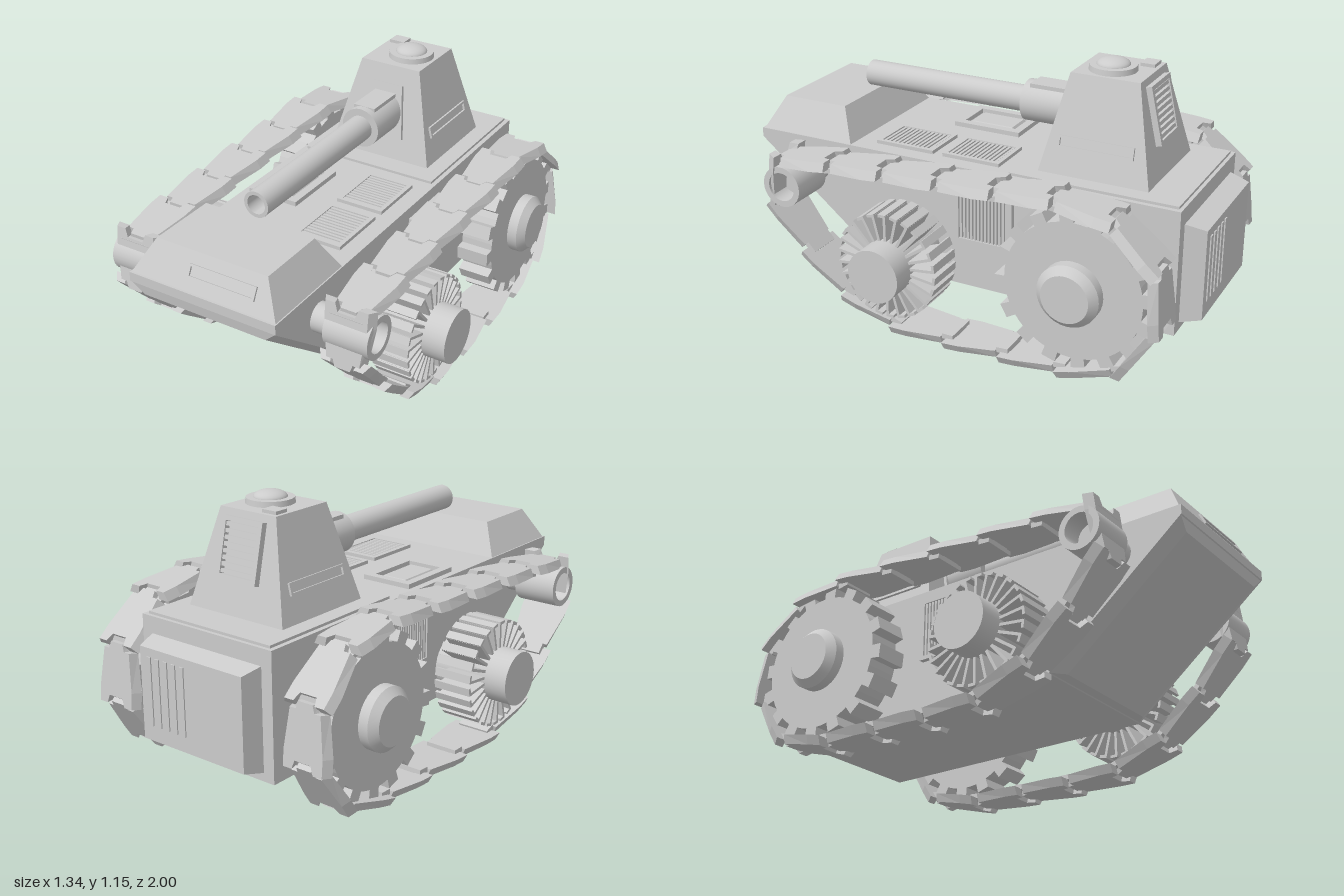
import * as THREE from 'three';
import { mergeGeometries, toCreasedNormals } from 'three/addons/utils/BufferGeometryUtils.js';

const mat = new THREE.MeshStandardMaterial({ color: 0xcccccc });
const V2 = (x, y) => new THREE.Vector2(x, y);

function add(parent, name, geo, x = 0, y = 0, z = 0) {
  const m = new THREE.Mesh(geo, mat);
  m.name = name;
  m.position.set(x, y, z);
  parent.add(m);
  return m;
}
const box = (w, h, d) => new THREE.BoxGeometry(w, h, d);

// Box standing on y = 0 whose top is resized to w1 x d1
function frustum(w0, d0, w1, d1, h) {
  const g = box(1, 1, 1), p = g.attributes.position;
  for (let i = 0; i < p.count; i++) {
    const top = p.getY(i) > 0;
    p.setXYZ(i, p.getX(i) * (top ? w1 : w0), top ? h : 0, p.getZ(i) * (top ? d1 : d0));
  }
  g.computeVertexNormals();
  return g;
}

// Outline drawn in (z, y), extruded along x and centred
function sideExtrude(points, width) {
  return new THREE.ExtrudeGeometry(new THREE.Shape(points), { depth: width, bevelEnabled: false })
    .translate(0, 0, -width / 2).rotateY(-Math.PI / 2);
}

// Turned profile [radius, x] running along x
function turned(profile, sides = 32) {
  const g = new THREE.LatheGeometry(profile.map(([r, h]) => V2(r, h)), sides);
  return toCreasedNormals(g.rotateZ(-Math.PI / 2), 0.6);
}
// Both ends of an axle from one outer half, listed from the middle outward
const axle = half => turned([...half.map(([r, x]) => [r, -x]).reverse(), ...half]);

// Flat rectangular frame facing up
function frame(w, d, rim, h) {
  const rect = (a, b) => [V2(-a, -b), V2(a, -b), V2(a, b), V2(-a, b)];
  const s = new THREE.Shape(rect(w / 2, d / 2));
  s.holes.push(new THREE.Path(rect(w / 2 - rim, d / 2 - rim).reverse()));
  return new THREE.ExtrudeGeometry(s, { depth: h, bevelEnabled: false }).rotateX(-Math.PI / 2);
}

// Frame filled with slats running along x
function grille(parent, name, w, d, n, h = 0.015) {
  const g = new THREE.Group();
  g.name = name;
  add(g, 'grilleFrame', frame(w, d, 0.018, h));
  const step = (d - 0.036) / n;
  for (let i = 0; i < n; i++) {
    add(g, 'slat', box(w - 0.036, h * 0.8, step * 0.6), 0, h * 0.4, -d / 2 + 0.018 + step * (i + 0.5));
  }
  parent.add(g);
  return g;
}

// One track shoe: wide notched rear, narrow tongue in front, chamfered outer face
function shoeGeometry() {
  const half = [[0.045, -0.095], [0.06, -0.13], [0.11, -0.13], [0.11, -0.06], [0.086, 0.1], [0.052, 0.1], [0.04, 0.13]];
  const pts = [...half.map(([x, z]) => V2(x, z)), ...half.map(([x, z]) => V2(-x, z)).reverse()];
  const g = new THREE.ExtrudeGeometry(new THREE.Shape(pts), { depth: 0.036, bevelEnabled: false })
    .rotateX(Math.PI / 2).translate(0, 0.018, 0);
  const p = g.attributes.position;
  for (let i = 0; i < p.count; i++) if (p.getY(i) > 0) p.setX(i, p.getX(i) * 0.82);
  g.computeVertexNormals();
  return g;
}

function buildTrack(parent, x) {
  const g = new THREE.Group();
  g.name = 'track';
  const path = [[0.76, 0.66], [0.3, 0.69], [-0.15, 0.708], [-0.58, 0.722], [-0.76, 0.67], [-0.885, 0.55],
    [-0.932, 0.38], [-0.89, 0.22], [-0.79, 0.09], [-0.62, 0.035], [-0.2, 0.022], [0.2, 0.024],
    [0.4, 0.085], [0.6, 0.245], [0.77, 0.43], [0.835, 0.56], [0.815, 0.64]];
  const curve = new THREE.CatmullRomCurve3(path.map(([z, y]) => new THREE.Vector3(0, y, z)), true);
  const shoe = shoeGeometry(), N = 17, X = new THREE.Vector3(1, 0, 0);
  for (let i = 0; i < N; i++) {
    const a = curve.getPointAt(i / N), b = curve.getPointAt((i + 1) / N);
    const Z = a.clone().sub(b).normalize(), Y = Z.clone().cross(X);
    const m = add(g, 'trackShoe', shoe);
    m.position.copy(a).add(b).multiplyScalar(0.5);
    m.quaternion.setFromRotationMatrix(new THREE.Matrix4().makeBasis(X, Y, Z));
    m.rotateX(0.04);
    // Hinge bar under the joint
    const pin = add(g, 'trackHinge', box(0.14, 0.022, 0.05));
    pin.position.copy(a).addScaledVector(Y, -0.02);
    pin.quaternion.copy(m.quaternion);
  }
  g.position.x = x;
  parent.add(g);
}

// Drive wheel outline with square teeth
function gear(r0, r1, teeth, width) {
  const pts = [];
  for (let i = 0; i < teeth; i++) {
    [[0, r0], [0.25, r0], [0.5, r0], [0.52, r1], [0.98, r1]].forEach(([f, r]) => {
      const a = (i + f) / teeth * Math.PI * 2;
      pts.push(V2(r * Math.cos(a), r * Math.sin(a)));
    });
  }
  return sideExtrude(pts, width);
}

// Drum of hooked paddles
function paddles(n, width) {
  const parts = [];
  for (let i = 0; i < n; i++) {
    const a = i / n * Math.PI * 2;
    parts.push(box(width, 0.115, 0.012).translate(0, 0.165, 0).rotateX(a));
    parts.push(box(width, 0.012, 0.034).translate(0, 0.222, 0.012).rotateX(a));
  }
  return mergeGeometries(parts);
}

export function createModel() {
  const root = new THREE.Group();
  root.name = 'tank';

  // Hull with raised plates
  add(root, 'hull', sideExtrude([V2(1, 0.685), V2(-0.91, 0.685), V2(-0.91, 0.16), V2(0.4, 0.16), V2(1, 0.645)], 0.66));
  const bow = add(root, 'bowPlate', frustum(0.65, 0.76, 0.55, 0.69, 0.03), 0, 0.4025, 0.7);
  bow.rotation.x = Math.PI - Math.atan2(0.485, 0.6);
  add(root, 'rearDeck', box(0.62, 0.012, 0.71), 0, 0.69, -0.54);
  add(root, 'foredeck', frustum(0.65, 0.44, 0.5, 0.3, 0.135), 0, 0.685, 0.77);
  const slit = add(root, 'visionSlit', frame(0.3, 0.055, 0.01, 0.01), 0.07, 0.752, 0.953);
  slit.rotation.x = Math.atan2(0.135, 0.07);

  // Deck grilles and hatch
  grille(root, 'deckGrille', 0.21, 0.26, 12).position.set(0.155, 0.685, 0.015);
  grille(root, 'deckGrille', 0.21, 0.27, 12).position.set(0.155, 0.685, 0.325);
  add(root, 'hatchFrame', frame(0.23, 0.31, 0.035, 0.02), -0.185, 0.685, 0.115);
  add(root, 'hatchLid', frustum(0.13, 0.21, 0.11, 0.19, 0.014), -0.185, 0.685, 0.115);

  // Rear engine cover with upright louvres
  const cover = add(root, 'engineCover', frustum(0.56, 0.42, 0.52, 0.38, 0.085), 0, 0.405, -0.91);
  cover.rotation.x = -Math.PI / 2;
  for (let i = 0; i < 5; i++) add(root, 'louvre', box(0.02, 0.28, 0.012), 0.04 + i * 0.043, 0.42, -0.994);

  // Turret
  add(root, 'turret', frustum(0.48, 0.47, 0.28, 0.29, 0.4), 0, 0.69, -0.512);
  const lean = Math.atan2(0.4, 0.09);
  const mantlet = add(root, 'mantlet', frustum(0.21, 0.02, 0.15, 0.02, 0.23), 0, 0.79, -0.295);
  mantlet.rotation.x = lean - Math.PI / 2;
  const vent = grille(root, 'turretVent', 0.2, 0.24, 8, 0.025);
  vent.position.set(0, 0.945, -0.69);
  vent.rotation.x = -lean;
  for (const s of [1, -1]) {
    const sl = add(root, 'turretSlit', frame(0.05, 0.32, 0.01, 0.01), s * 0.206, 0.825, -0.51);
    sl.rotation.z = -s * Math.atan2(0.4, 0.1);
  }

  // Cupola and periscope
  add(root, 'cupolaRing', new THREE.CylinderGeometry(0.095, 0.098, 0.025, 32), 0.028, 1.1, -0.5);
  const dome = new THREE.SphereGeometry(0.068, 24, 8, 0, Math.PI * 2, 0, Math.PI / 2).scale(1, 0.45, 1);
  add(root, 'cupolaDome', dome, 0.028, 1.11, -0.5);
  add(root, 'periscope', box(0.07, 0.015, 0.06), -0.09, 1.096, -0.61);

  // Gun with sleeve and hollow muzzle
  const gun = turned([[0, -0.4], [0.086, -0.4], [0.086, -0.12], [0.055, -0.12], [0.055, 0.635], [0.04, 0.635], [0.04, 0.5], [0, 0.5]]);
  add(root, 'gun', gun.rotateY(-Math.PI / 2), 0, 0.895, 0);
  add(root, 'sleeveCover', box(0.1, 0.025, 0.18), 0, 0.969, -0.24);

  // Axles spanning both sides
  add(root, 'frontRoller', axle([[0.06, 0], [0.06, 0.4], [0.088, 0.4], [0.088, 0.59], [0.062, 0.59], [0.062, 0.5], [0, 0.5]]), 0, 0.56, 0.72);
  add(root, 'middleAxle', axle([[0.115, 0], [0.115, 0.672], [0, 0.672]]), 0, 0.298, 0.238);
  add(root, 'rearAxle', axle([[0.125, 0], [0.128, 0.6], [0.098, 0.63], [0, 0.63]]), 0, 0.38, -0.577);

  // Running gear and side grilles on each side
  const drum = paddles(26, 0.17), drive = gear(0.285, 0.328, 16, 0.14);
  for (const s of [1, -1]) {
    const x = s * 0.4875;
    buildTrack(root, x);
    add(root, 'paddleDrum', drum, x, 0.298, 0.238);
    add(root, 'driveWheel', drive, x, 0.38, -0.577);
    const g = grille(root, 'sideGrille', 0.27, 0.26, 14, 0.022);
    g.rotation.set(-Math.PI / 2, s * Math.PI / 2, 0, 'YXZ');
    g.rotation.set(0, 0, -s * Math.PI / 2);
    g.position.set(s * 0.33, 0.5, -0.09);
  }
  return root;
}
